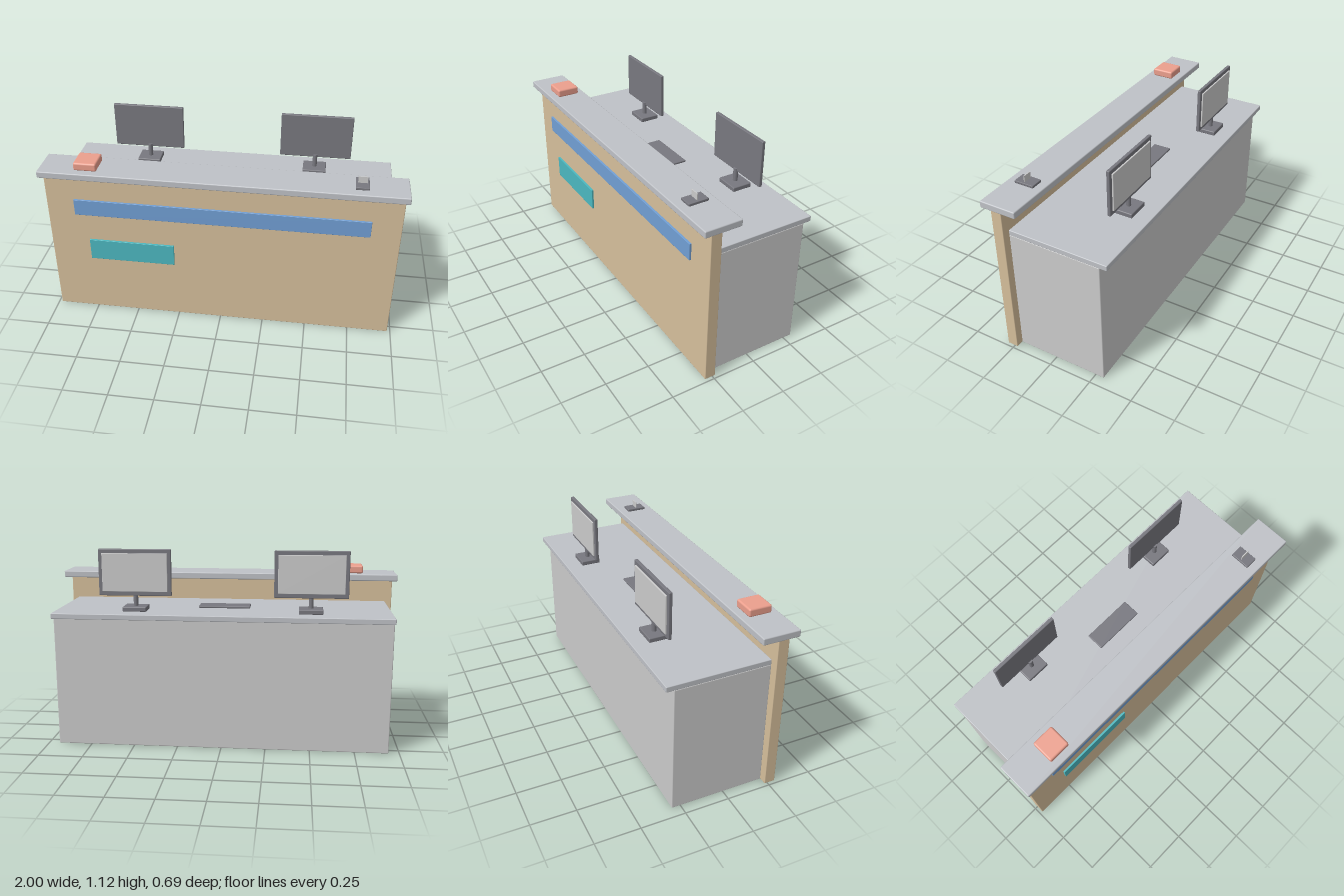
import * as THREE from 'three';
import { RoundedBoxGeometry } from 'three/addons/geometries/RoundedBoxGeometry.js';

const mat = (color) => new THREE.MeshStandardMaterial({ color });

// Box given by its extents on each axis, with softened edges of radius r
function block(name, material, [x0, x1], [y0, y1], [z0, z1], r = 0) {
  const w = x1 - x0, h = y1 - y0, d = z1 - z0;
  const geometry = r ? new RoundedBoxGeometry(w, h, d, 2, r) : new THREE.BoxGeometry(w, h, d);
  const mesh = new THREE.Mesh(geometry, material);
  mesh.name = name;
  mesh.position.set((x0 + x1) / 2, (y0 + y1) / 2, (z0 + z1) / 2);
  return mesh;
}

export function createModel() {
  const grey = mat(0xcccccc), wood = mat(0xd6bf9c), stone = mat(0xbfc2c7);
  const dark = mat(0x78787f), blue = mat(0x719fd4), teal = mat(0x4cb8c0), coral = mat(0xec9f8d);

  const model = new THREE.Group();
  model.name = 'receptionDesk';

  // Counter
  model.add(
    block('deskBody', grey, [-0.94, 0.94], [0, 0.741], [-0.3, 0.233], 0.005),
    block('worktop', stone, [-0.942, 0.942], [0.741, 0.772], [-0.343, 0.231], 0.004),
    block('frontPanel', wood, [-0.982, 0.982], [0, 0.906], [0.233, 0.295], 0.004),
    block('transactionLedge', stone, [-1, 1], [0.906, 0.945], [0.133, 0.343], 0.006),
    block('accentStrip', blue, [-0.823, 0.82], [0.66, 0.757], [0.29, 0.306], 0.002),
    block('signPlate', teal, [-0.755, -0.265], [0.363, 0.493], [0.29, 0.306], 0.002),
  );

  // Things on the counter
  model.add(
    block('keyboard', dark, [-0.148, 0.146], [0.772, 0.784], [-0.1, 0.003], 0.004),
    block('tissueBox', coral, [-0.802, -0.674], [0.945, 0.991], [0.173, 0.303], 0.01),
  );
  const holder = new THREE.Group();
  holder.name = 'cardHolder';
  holder.add(
    block('holderBase', dark, [0.715, 0.787], [0.945, 0.96], [0.18, 0.293], 0.003),
    block('card', grey, [0.726, 0.776], [0.958, 0.996], [0.236, 0.241]),
  );
  model.add(holder);

  // Two monitors whose displays face the back
  for (const [name, x] of [['rightMonitor', -0.492], ['leftMonitor', 0.49]]) {
    const monitor = new THREE.Group();
    monitor.name = name;
    monitor.position.x = x;
    const neck = new THREE.Mesh(new THREE.CylinderGeometry(0.013, 0.013, 0.078, 20), dark);
    neck.name = 'neck';
    neck.position.set(0, 0.834, -0.196);
    monitor.add(
      block('base', dark, [-0.067, 0.067], [0.772, 0.798], [-0.253, -0.139], 0.005),
      neck,
      block('screenHousing', dark, [-0.205, 0.205], [0.856, 1.117], [-0.214, -0.195], 0.004),
      block('display', grey, [-0.184, 0.184], [0.88, 1.094], [-0.222, -0.21], 0.002),
    );
    model.add(monitor);
  }
  return model;
}
